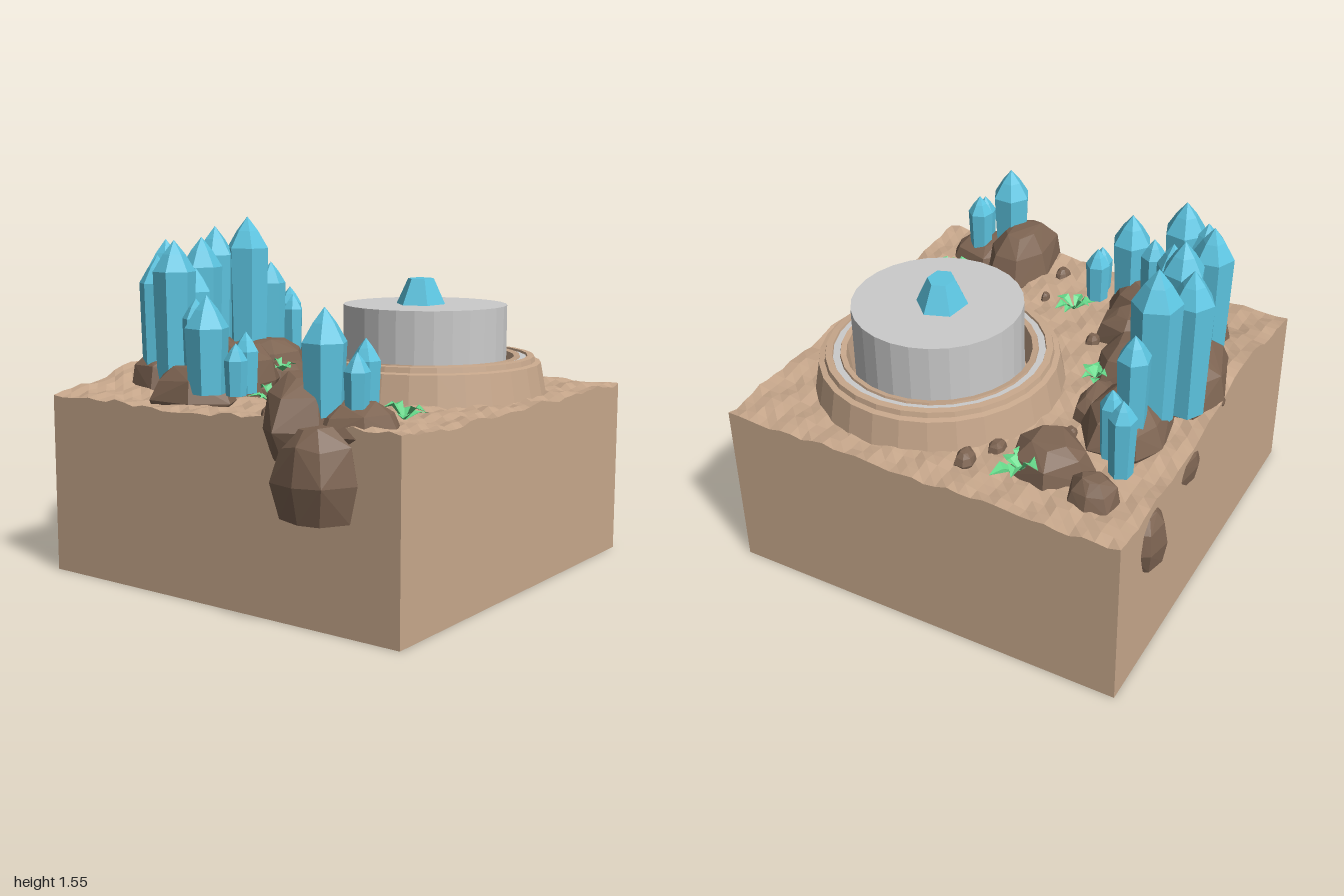
import * as THREE from 'three';
import { ConvexGeometry } from 'three/addons/geometries/ConvexGeometry.js';

const mat = (color, extra = {}) => new THREE.MeshStandardMaterial({ color, flatShading: true, ...extra });
const SAND = mat(0xc8a88c), ROCK = mat(0x7d6452), CRYSTAL = mat(0x5cc4e0), GREY = mat(0xcccccc);
const LEAF = mat(0x66d98a, { side: THREE.DoubleSide });

// Small seeded random generator
function seeded(seed) {
  let s = seed * 7919 + 17;
  return () => (s = (s * 16807) % 2147483647) / 2147483647;
}

function add(parent, name, geometry, material, x = 0, y = 0, z = 0) {
  const m = new THREE.Mesh(geometry, material);
  m.name = name;
  m.position.set(x, y, z);
  parent.add(m);
  return m;
}

function addGroup(parent, name, x = 0, y = 0, z = 0) {
  const g = new THREE.Group();
  g.name = name;
  g.position.set(x, y, z);
  parent.add(g);
  return g;
}

const lathe = (pts, sides) => new THREE.LatheGeometry(pts.map(([r, y]) => new THREE.Vector2(r, y)), sides);

// Height of the uneven sand surface
function groundHeight(x, z) {
  const ripple = 0.007 * Math.sin(x * 23 + z * 9) + 0.006 * Math.sin(z * 31 - x * 13) + 0.004 * Math.sin(x * 57 + z * 41);
  const mound = 0.1 * Math.exp(-((x + 0.25) ** 2 / 0.12 + (z + 0.85) ** 2 / 0.08));
  const corner = 0.025 * Math.exp(-((x + 0.83) ** 2 / 0.05 + (z - 0.6) ** 2 / 0.3));
  return 0.79 + ripple + mound + corner;
}

// Square block of ground whose top follows groundHeight
function ground() {
  const geo = new THREE.BoxGeometry(1.83, 1, 1.84, 34, 1, 34).translate(0.085, 0.5, 0.03);
  const p = geo.attributes.position;
  for (let i = 0; i < p.count; i++) {
    if (p.getY(i) > 0.5) p.setY(i, groundHeight(p.getX(i), p.getZ(i)));
  }
  return geo;
}

// Faceted boulder: hull of jittered oval rings drawn in towards the top
function rock(parent, name, seed, x, z, rx, rz, y0, y1) {
  const rnd = seeded(seed), pts = [], sides = 7;
  for (let i = 0; i < sides; i++) {
    const a = ((i + 0.5 * rnd()) / sides) * Math.PI * 2 + seed;
    for (const [level, scale] of [[0, 0.8], [0.4, 1], [0.78, 0.82], [1, 0.45]]) {
      const k = scale * (0.92 + 0.14 * rnd());
      const y = y0 + (y1 - y0) * level * (1 - 0.1 * rnd());
      pts.push(new THREE.Vector3(rx * k * Math.cos(a), y, rz * k * Math.sin(a)));
    }
  }
  add(parent, name, new ConvexGeometry(pts), ROCK, x, 0, z);
}

// Six-sided crystal with a pointed end
function crystal(parent, i, x, z, r, tip) {
  const base = 0.84, h = tip - base, cap = Math.min(r * 1.45, h * 0.4);
  const geo = lathe([[0, 0], [r * 0.86, 0], [r, h - cap], [r * 0.52, h - cap * 0.45], [0, h]], 6);
  add(parent, 'crystal', geo, CRYSTAL, x, base, z).rotation.y = i * 0.37;
}

// One leaf folded along its middle, pointing along +x
function leafGeometry(len, up) {
  const root = [0, 0, 0], tip = [len, up * 0.7, 0], fold = [len * 0.55, up * 0.8, 0];
  const [left, right] = [-1, 1].map(s => [len * 0.5, up, s * len * 0.27]);
  const corners = [root, fold, right, root, left, fold, fold, tip, right, fold, left, tip];
  const geo = new THREE.BufferGeometry().setFromPoints(corners.map(c => new THREE.Vector3(...c)));
  geo.computeVertexNormals();
  return geo;
}

// Tuft of leaves
function plant(parent, seed, x, z, size, y) {
  const rnd = seeded(seed), tuft = addGroup(parent, 'plant', x, y, z);
  for (let i = 0; i < 6; i++) {
    const geo = leafGeometry(size * (0.75 + 0.4 * rnd()), size * (0.3 + 0.4 * rnd()));
    add(tuft, 'leaf', geo, LEAF).rotation.y = i * Math.PI / 3 + rnd() * 0.6;
  }
}

export function createModel() {
  const model = new THREE.Group();
  model.name = 'crystalGround';
  add(model, 'groundBlock', ground(), SAND);

  // Round pedestal inside a stepped ring
  const pedestal = addGroup(model, 'pedestal', 0.335, 0, 0.3);
  add(pedestal, 'column', new THREE.CylinderGeometry(0.37, 0.37, 0.42, 28), GREY, 0, 0.965, 0);
  add(pedestal, 'steppedRing', lathe([[0.555, 0.76], [0.525, 0.92], [0.5, 0.925], [0.495, 0.948],
    [0.465, 0.95], [0.46, 0.93], [0.435, 0.93], [0.43, 0.95], [0.405, 0.945], [0.385, 0.78]], 28), SAND);
  add(pedestal, 'ringInlay', new THREE.RingGeometry(0.432, 0.464, 28).rotateX(-Math.PI / 2), GREY, 0, 0.94, 0);

  // Cut stone set on the pedestal
  const gem = new THREE.CylinderGeometry(0.07, 0.135, 0.12, 6, 1);
  gem.scale(1, 1, 0.85).rotateY(0.35);
  add(pedestal, 'centreGem', gem, CRYSTAL, -0.005, 1.23, -0.02);

  // Boulders: x, z, half width, half depth, bottom, top
  const rocks = addGroup(model, 'rocks');
  [
    [-0.7, 0.45, 0.26, 0.17, 0.65, 1.0],
    [-0.86, 0.58, 0.14, 0.18, 0.45, 0.84],
    [-0.69, 0.65, 0.18, 0.18, 0.7, 0.9],
    [-0.57, -0.3, 0.17, 0.2, 0.7, 0.95],
    [-0.35, -0.31, 0.16, 0.2, 0.7, 0.93],
    [-0.4, -0.6, 0.18, 0.18, 0.7, 0.99],
    [-0.07, -0.7, 0.26, 0.2, 0.7, 1.04],
    [-0.07, -0.44, 0.19, 0.16, 0.7, 0.99],
    [0.3, -0.6, 0.25, 0.2, 0.7, 0.97],
    [0.22, -0.41, 0.17, 0.1, 0.7, 0.88],
    [0.66, -0.42, 0.19, 0.18, 0.7, 0.93],
    [0.77, -0.66, 0.1, 0.12, 0.7, 0.9],
    [0.7, -0.87, 0.11, 0.075, 0.5, 0.77],
    [0.32, -0.86, 0.12, 0.05, 0.64, 0.79],
  ].forEach((r, i) => rock(rocks, 'boulder', i + 3, ...r));

  // Loose stones: x, z, radius
  [
    [-0.68, 0.22, 0.05], [-0.46, 0.2, 0.03], [-0.41, 0.53, 0.04], [-0.48, 0.58, 0.05],
    [0.45, -0.4, 0.04], [0.68, -0.18, 0.05], [0.8, -0.1, 0.06], [-0.22, -0.17, 0.045],
  ].forEach(([x, z, r], i) => rock(rocks, 'looseStone', i + 40, x, z, r, r * 0.75, 0.76, 0.8 + r * 0.7));

  // Crystals: x, z, radius, tip height
  const crystals = addGroup(model, 'crystals');
  [
    [0.12, -0.77, 0.095, 1.51], [0.245, -0.67, 0.105, 1.555], [0.4, -0.65, 0.072, 1.33],
    [0.55, -0.63, 0.052, 1.16], [0.635, -0.715, 0.058, 1.19], [-0.145, -0.62, 0.095, 1.47],
    [-0.32, -0.68, 0.095, 1.465], [-0.46, -0.6, 0.085, 1.4], [-0.47, -0.49, 0.095, 1.47],
    [-0.32, -0.5, 0.072, 1.34], [-0.51, -0.33, 0.06, 1.225], [-0.62, -0.17, 0.095, 1.255],
    [-0.51, -0.05, 0.057, 1.1], [-0.6, -0.03, 0.05, 1.06], [-0.76, 0.55, 0.093, 1.255],
    [-0.65, 0.665, 0.06, 1.135], [-0.735, 0.685, 0.052, 1.09],
  ].forEach((c, i) => crystal(crystals, i, ...c));

  // Green tufts: x, z, size, height
  [[-0.43, 0.03, 0.12, 0.79], [0.1, -0.34, 0.09, 0.84], [0.81, -0.36, 0.13, 0.84], [-0.45, 0.71, 0.11, 0.79]]
    .forEach((p, i) => plant(model, i + 5, ...p));

  return model;
}
